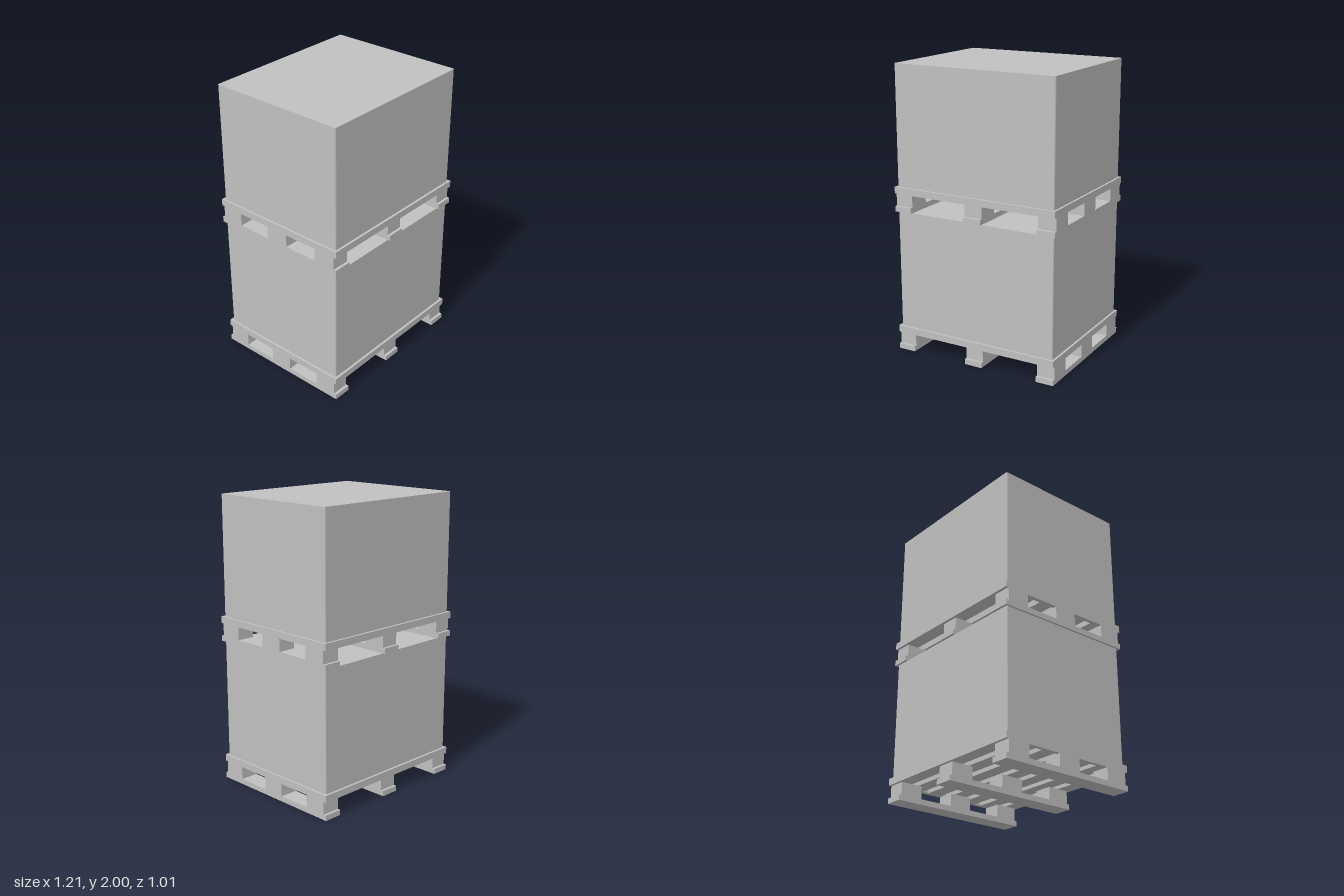
import * as THREE from 'three';

const grey = new THREE.MeshStandardMaterial({ color: 0xc0c0c0 });
grey.name = 'grey';

// Key heights and half sizes
const BOARD = 0.037, BLOCK = 0.125, DECK = 0.172, LEVEL = 1.0;
const HX = 0.605, HZ = 0.505;

function add(parent, name, geometry, x = 0, y = 0, z = 0) {
  const mesh = new THREE.Mesh(geometry, grey);
  mesh.name = name;
  mesh.position.set(x, y, z);
  parent.add(mesh);
  return mesh;
}

// Runner: bottom board with three blocks standing on it, extruded across its width
function runnerGeometry(width) {
  const shape = new THREE.Shape();
  shape.moveTo(-HZ, 0);
  shape.lineTo(HZ, 0);
  shape.lineTo(HZ, BOARD);
  for (const [outer, inner] of [[0.485, 0.327], [0.083, -0.083], [-0.327, -0.485]]) {
    shape.lineTo(outer, BOARD);
    shape.lineTo(outer, BLOCK);
    shape.lineTo(inner, BLOCK);
    shape.lineTo(inner, BOARD);
  }
  shape.lineTo(-HZ, BOARD);
  shape.closePath();
  return new THREE.ExtrudeGeometry(shape, { depth: width, bevelEnabled: false })
    .translate(0, 0, -width / 2)
    .rotateY(-Math.PI / 2);
}

function createPallet() {
  const pallet = new THREE.Group();
  pallet.name = 'pallet';
  const thick = DECK - BLOCK, midY = (DECK + BLOCK) / 2;

  add(pallet, 'centreRunner', runnerGeometry(0.13));
  for (const side of [-1, 1]) {
    add(pallet, 'sideRunner', runnerGeometry(0.127), side * (HX - 0.0635));
    add(pallet, 'sideRail', new THREE.BoxGeometry(0.028, thick, HZ * 2), side * (HX - 0.014), midY);
  }

  // Deck slats run from side rail to side rail
  const count = 7, slat = 0.1;
  const step = (HZ * 2 - slat) / (count - 1);
  for (let i = 0; i < count; i++) {
    add(pallet, 'deckSlat', new THREE.BoxGeometry((HX - 0.028) * 2, thick, slat),
      0, midY, -HZ + slat / 2 + i * step);
  }
  return pallet;
}

// Carton: upright box with slightly rounded vertical corners
function cartonGeometry() {
  const x = 0.59, z = 0.488, r = 0.01;
  const shape = new THREE.Shape();
  shape.absarc(x - r, z - r, r, 0, Math.PI / 2);
  shape.absarc(-x + r, z - r, r, Math.PI / 2, Math.PI);
  shape.absarc(-x + r, -z + r, r, Math.PI, Math.PI * 1.5);
  shape.absarc(x - r, -z + r, r, Math.PI * 1.5, Math.PI * 2);
  return new THREE.ExtrudeGeometry(shape, { depth: LEVEL - DECK, bevelEnabled: false, curveSegments: 4 })
    .rotateX(-Math.PI / 2);
}

export function createModel() {
  const model = new THREE.Group();
  model.name = 'stackedPallets';
  for (let i = 0; i < 2; i++) {
    const load = new THREE.Group();
    load.name = i ? 'upperLoad' : 'lowerLoad';
    load.position.y = i * LEVEL;
    load.add(createPallet());
    add(load, 'carton', cartonGeometry(), 0, DECK, 0);
    model.add(load);
  }
  return model;
}
